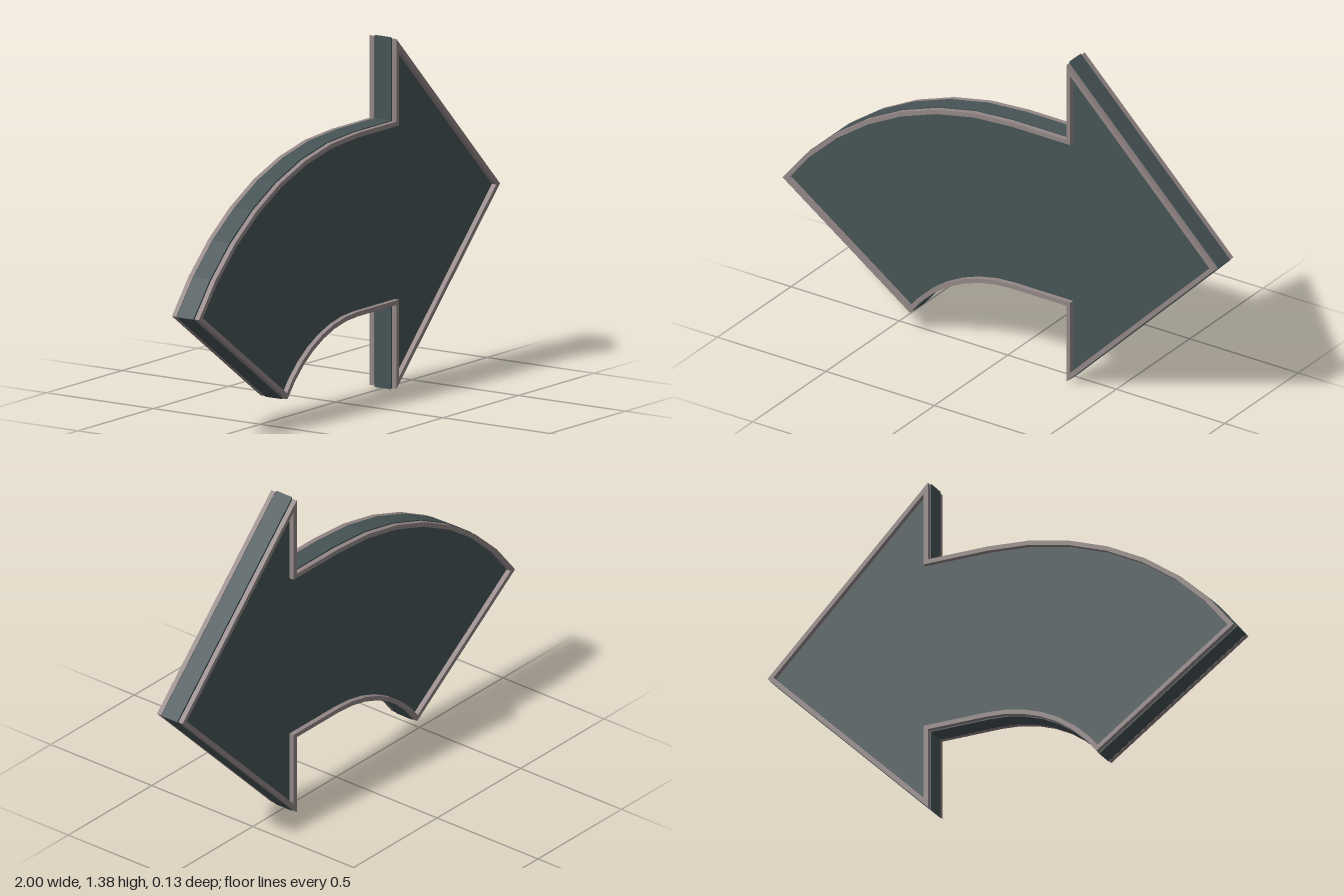
import * as THREE from 'three';

// Closed counter-clockwise outline of a bent arrow pointing to +x
function arrowOutline() {
  const cx = 0.058, cy = -0.24, outer = 1.29, inner = 0.57, steps = 7;
  const arc = (radius, from, to) => Array.from({ length: steps + 1 }, (_, i) => {
    const a = THREE.MathUtils.degToRad(from + (to - from) * i / steps);
    return new THREE.Vector2(cx + radius * Math.cos(a), cy + radius * Math.sin(a));
  });
  const head = [[0.31, 0.33], [0.31, 0], [1, 0.688], [0.31, 1.375], [0.31, 1.05]];
  return [
    ...arc(inner, 145, 90),
    ...head.map(([x, y]) => new THREE.Vector2(x, y)),
    ...arc(outer, 90, 145),
  ];
}

// Move every edge inward by d, with mitred corners
function inset(points, d) {
  const n = points.length;
  const normal = (a, b) => {
    const e = b.clone().sub(a).normalize();
    return new THREE.Vector2(-e.y, e.x);
  };
  return points.map((p, i) => {
    const n1 = normal(points[(i + n - 1) % n], p);
    const n2 = normal(p, points[(i + 1) % n]);
    const k = d / (1 + n1.dot(n2));
    return p.clone().add(n1.add(n2).multiplyScalar(k));
  });
}

export function createModel() {
  const group = new THREE.Group();
  group.name = 'bentArrow';

  const slate = new THREE.MeshStandardMaterial({ color: 0x465355 });
  slate.name = 'slate';
  const mauve = new THREE.MeshStandardMaterial({ color: 0x938686 });
  mauve.name = 'mauveGrey';

  const outline = arrowOutline();
  const add = (name, shape, depth, z, material) => {
    const geometry = new THREE.ExtrudeGeometry(shape, { depth, bevelEnabled: false });
    const mesh = new THREE.Mesh(geometry, material);
    mesh.name = name;
    mesh.position.z = z;
    group.add(mesh);
  };

  // Solid arrow slab
  add('arrowBody', new THREE.Shape(outline), 0.078, -0.039, slate);

  // Thin border frames standing just clear of both faces
  const border = new THREE.Shape(inset(outline, 0.002));
  border.holes.push(new THREE.Path(inset(outline, 0.02).reverse()));
  add('frontBorder', border, 0.02, 0.043, mauve);
  add('backBorder', border, 0.02, -0.063, mauve);

  return group;
}
